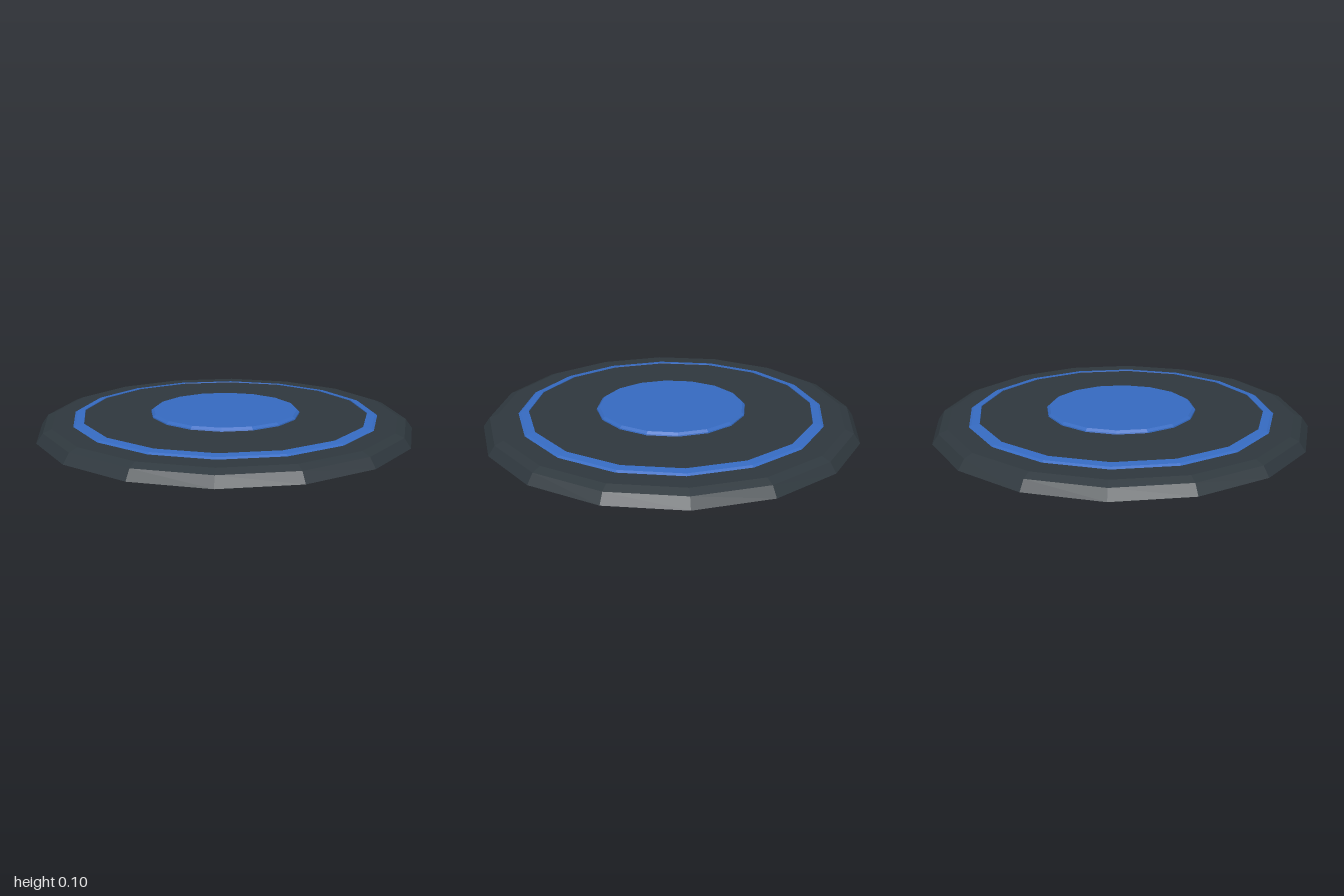
import * as THREE from 'three';

const SIDES = 16;
const STEP = Math.PI / SIDES;

// Faceted turned part; profile is [distance to flat side, height], bottom to top
function turned(name, profile, material) {
  const points = profile.map(([r, y]) => new THREE.Vector2(r / Math.cos(STEP), y));
  const geometry = new THREE.LatheGeometry(points, SIDES, STEP).toNonIndexed();
  geometry.computeVertexNormals();
  const mesh = new THREE.Mesh(geometry, material);
  mesh.name = name;
  return mesh;
}

export function createModel() {
  const dark = new THREE.MeshStandardMaterial({ color: 0x2f383e });
  dark.name = 'dark slate';
  const blue = new THREE.MeshStandardMaterial({ color: 0x366bc2 });
  blue.name = 'blue';

  const model = new THREE.Group();
  model.name = 'roundPad';

  // Bevelled base with a closed underside and a low inner deck
  model.add(turned('base', [
    [0, 0], [1, 0], [0.965, 0.05], [0.92, 0.068], [0.757, 0.07], [0.757, 0.079], [0, 0.079],
  ], dark));

  // Thin ring around the deck
  model.add(turned('outerRing', [
    [0.815, 0.068], [0.8, 0.077], [0.758, 0.082], [0.757, 0.078],
  ], blue));

  // Raised bevelled disc in the middle
  model.add(turned('centerDisc', [
    [0.4, 0.078], [0.398, 0.085], [0.385, 0.096], [0, 0.096],
  ], blue));

  return model;
}
